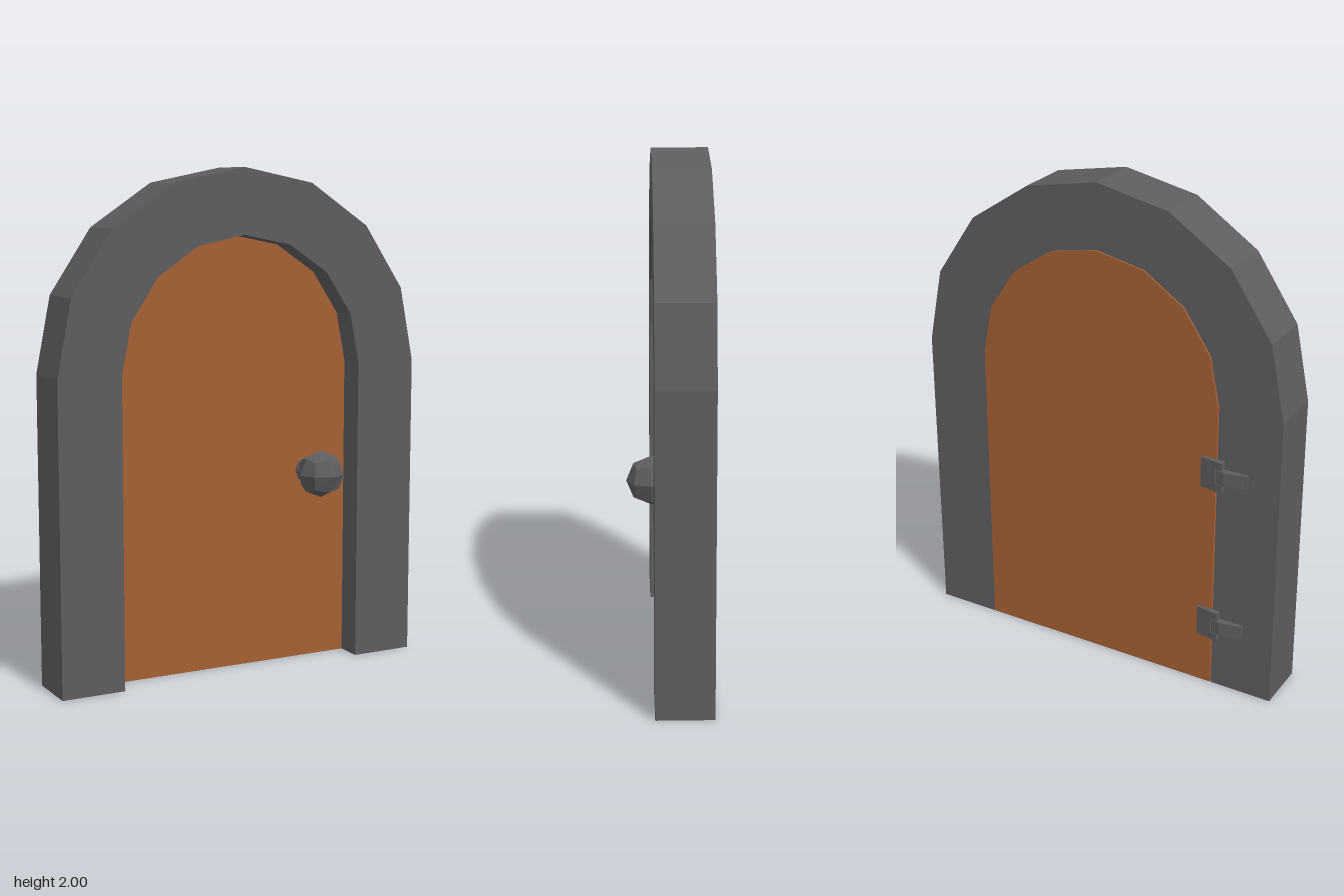
import * as THREE from 'three';

const BACK = -0.146, FRONT = 0.072, SPRING = 1.22;

// Half-circle of arch points, from +x over the top to -x
function archPoints(r, segments = 8) {
  const pts = [];
  for (let i = 0; i <= segments; i++) {
    const a = (i / segments) * Math.PI;
    pts.push(new THREE.Vector2(r * Math.cos(a), SPRING + r * Math.sin(a)));
  }
  return pts;
}

function extrude(points, depth) {
  return new THREE.ExtrudeGeometry(new THREE.Shape(points), { depth, bevelEnabled: false });
}

// Facet a geometry so that every face is flat
function faceted(geometry) {
  const g = geometry.toNonIndexed();
  g.computeVertexNormals();
  return g;
}

// Low-poly ball made from a subdivided cube
function cubeBall(r) {
  const g = new THREE.BoxGeometry(1, 1, 1, 2, 2, 2);
  const p = g.attributes.position, v = new THREE.Vector3();
  for (let i = 0; i < p.count; i++) {
    v.fromBufferAttribute(p, i).setLength(r);
    p.setXYZ(i, v.x, v.y, v.z);
  }
  return faceted(g);
}

export function createModel() {
  const model = new THREE.Group();
  model.name = 'archedDoor';
  const stone = new THREE.MeshStandardMaterial({ color: 0x5d5d60 });
  stone.name = 'dark grey';
  const wood = new THREE.MeshStandardMaterial({ color: 0xa36034 });
  wood.name = 'brown wood';

  function add(parent, name, geometry, material, x = 0, y = 0, z = 0) {
    const mesh = new THREE.Mesh(geometry, material);
    mesh.name = name;
    mesh.position.set(x, y, z);
    parent.add(mesh);
    return mesh;
  }

  // Arched frame, open at the bottom
  const outer = archPoints(0.778), inner = archPoints(0.52).reverse();
  const framePoints = [
    new THREE.Vector2(0.778, 0), ...outer, new THREE.Vector2(-0.778, 0),
    new THREE.Vector2(-0.52, 0), ...inner, new THREE.Vector2(0.52, 0),
  ];
  add(model, 'frame', extrude(framePoints, FRONT - BACK), stone, 0, 0, BACK);

  // Door leaf, flush with the back, with a hairline gap on the hinge side
  const r = 0.517;
  const doorPoints = [new THREE.Vector2(r, 0), ...archPoints(r), new THREE.Vector2(-r, 0)];
  add(model, 'door', extrude(doorPoints, 0.11), wood, 0.003, 0, BACK);

  // Knob on a short stem
  const knob = new THREE.Group();
  knob.name = 'knob';
  knob.position.set(0.343, 0.78, 0);
  model.add(knob);
  add(knob, 'knobBall', cubeBall(0.095), stone, 0, 0, 0.078);
  const stem = faceted(new THREE.CylinderGeometry(0.052, 0.052, 0.11, 8).rotateX(Math.PI / 2));
  add(knob, 'knobStem', stem, stone, 0, 0, 0.015);

  // Hinge pieces: wedge profiles (x, thickness behind the door) extruded upwards
  function hingePiece(profile, height) {
    return extrude(profile.map(([x, d]) => new THREE.Vector2(x, d)), height).rotateX(-Math.PI / 2);
  }
  const doorPlate = hingePiece([[-0.52, 0], [-0.455, 0], [-0.455, 0.01], [-0.52, 0.021]], 0.125);
  const knuckle = hingePiece([[-0.55, 0], [-0.52, 0], [-0.52, 0.021], [-0.55, 0.026]], 0.032);
  const strap = hingePiece(
    [[-0.65, 0], [-0.525, 0], [-0.525, 0.022], [-0.56, 0.028], [-0.65, 0.011]], 0.056);
  for (const y of [0.22, 0.883]) {
    const hinge = new THREE.Group();
    hinge.name = 'hinge';
    hinge.position.set(0, y, BACK);
    model.add(hinge);
    add(hinge, 'hingePlate', doorPlate, stone);
    for (const ky of [0, 0.093]) add(hinge, 'hingeKnuckle', knuckle, stone, 0, ky);
    add(hinge, 'hingeStrap', strap, stone, 0, 0.0345);
  }

  return model;
}
